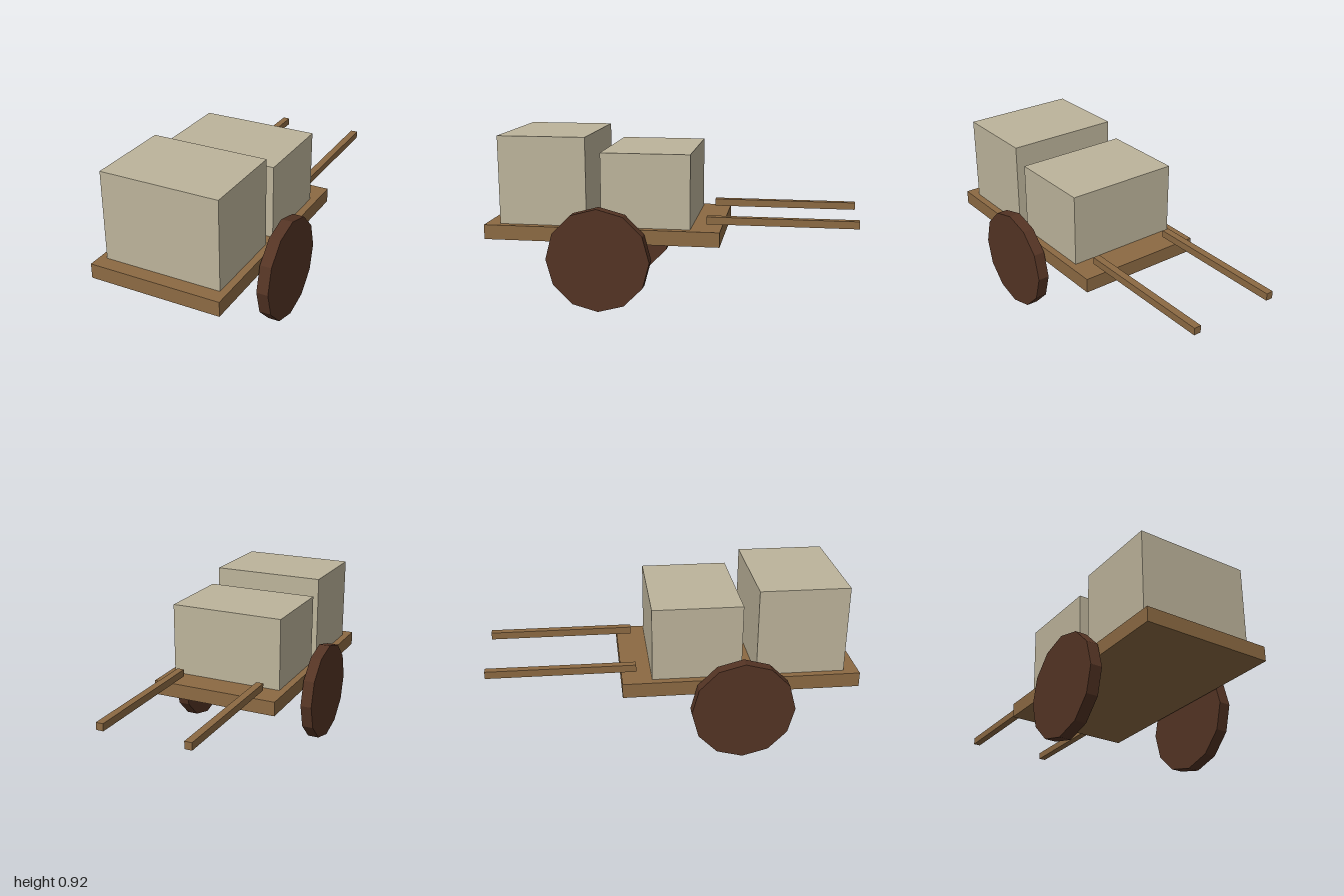
import * as THREE from 'three';

const material = (name, color) => {
  const m = new THREE.MeshStandardMaterial({ color });
  m.name = name;
  return m;
};

export function createModel() {
  const cart = new THREE.Group();
  cart.name = 'handcart';
  const wood = material('plank wood', 0x8c6a43);
  const darkWood = material('dark wheel wood', 0x543424);
  const canvas = material('pale crate', 0xbdb49b);
  darkWood.flatShading = true;

  const add = (name, geometry, mat, x, y, z) => {
    const mesh = new THREE.Mesh(geometry, mat);
    mesh.name = name;
    mesh.position.set(x, y, z);
    cart.add(mesh);
  };

  // Flat bed
  add('bed', new THREE.BoxGeometry(0.72, 0.08, 1.28), wood, 0, 0.4, 0.36);

  // Cargo: taller crate in front, lower one behind
  add('frontCrate', new THREE.BoxGeometry(0.64, 0.48, 0.48), canvas, 0, 0.68, 0.68);
  add('backCrate', new THREE.BoxGeometry(0.64, 0.4, 0.48), canvas, 0, 0.64, 0.12);

  // Twelve-sided wheels and pull handles, mirrored
  const wheel = new THREE.CylinderGeometry(0.28, 0.28, 0.064, 12).rotateZ(Math.PI / 2);
  const handle = new THREE.BoxGeometry(0.04, 0.04, 0.8);
  for (const [side, s] of [['left', 1], ['right', -1]]) {
    add(side + 'Wheel', wheel, darkWood, s * 0.4, 0.28, 0.36);
    add(side + 'Handle', handle, wood, s * 0.24, 0.48, -0.6);
  }
  return cart;
}
